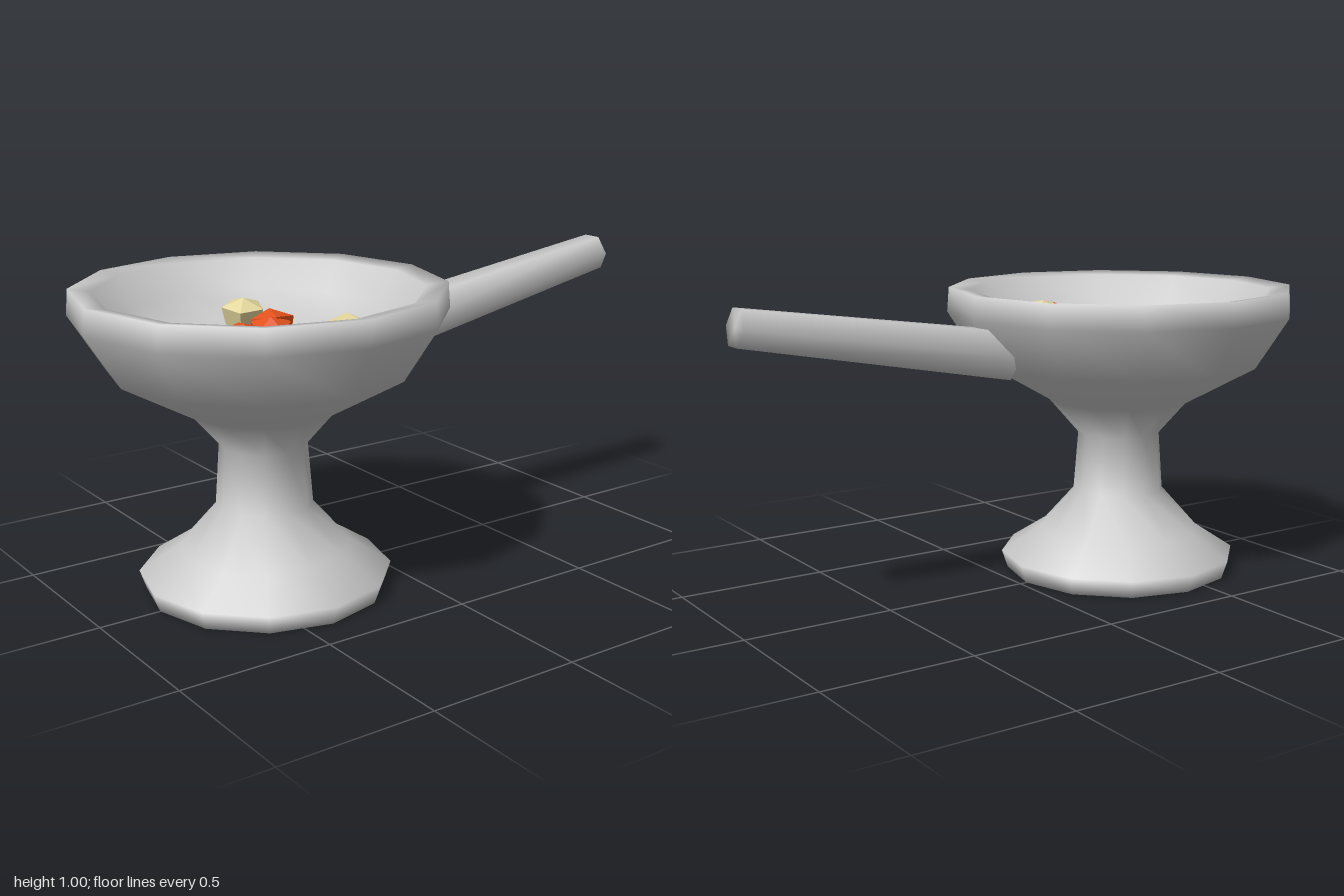
import * as THREE from 'three';

const CENTER_X = -0.41;

function material(name, color, extra = {}) {
  const m = new THREE.MeshStandardMaterial({ color, ...extra });
  m.name = name;
  return m;
}

function lathe(points, sides) {
  return new THREE.LatheGeometry(points.map(([r, y]) => new THREE.Vector2(r, y)), sides);
}

export function createModel() {
  const model = new THREE.Group();
  const stone = material('greyStone', 0xcacaca, { side: THREE.DoubleSide });
  const orange = material('orangeNugget', 0xe0511c, { flatShading: true });
  const cream = material('creamNugget', 0xe2d59c, { flatShading: true });

  const add = (name, geometry, mat, x, y, z, parent = model) => {
    const mesh = new THREE.Mesh(geometry, mat);
    mesh.name = name;
    mesh.position.set(x, y, z);
    parent.add(mesh);
    return mesh;
  };

  // Closed flared foot, stem, bowl wall, rounded lip and shallow lining in one smooth turning
  add('footStemAndBowl', lathe([
    [0, 0], [0.385, 0], [0.405, 0.06], [0.275, 0.145], [0.155, 0.28], [0.14, 0.48],
    [0.24, 0.595], [0.48, 0.73], [0.588, 0.9], [0.582, 0.982],
    [0.515, 0.972], [0.46, 0.88], [0.34, 0.81], [0.17, 0.78], [0, 0.77],
  ], 12), stone, CENTER_X, 0, 0);

  // Tapered six-sided handle with softly shaded ends, tilted up towards its tip
  const start = new THREE.Vector3(0.055, 0.785, 0);
  const axis = new THREE.Vector3(0.99, 0.941, 0).sub(start);
  const length = axis.length();
  const handle = add('handle', lathe([
    [0, 0], [0.09, 0], [0.065, length], [0, length],
  ], 6), stone, start.x, start.y, 0);
  handle.quaternion.setFromUnitVectors(new THREE.Vector3(0, 1, 0), axis.normalize());

  // Five-sided nuggets lying in the bowl: [material, x, y, z, radius, turn, tilt]
  const nugget = lathe([[0, -0.75], [0.8, -0.65], [1, 0.2], [0, 0.6]], 5);
  const contents = new THREE.Group();
  contents.name = 'bowlContents';
  model.add(contents);
  [
    [cream, -0.33, 0.85, -0.24, 0.071, 0.6, 0.1],
    [orange, -0.48, 0.835, 0.01, 0.069, 0.3, 0.15],
    [orange, -0.35, 0.85, -0.04, 0.074, 1.0, -0.15],
    [orange, -0.38, 0.845, 0.01, 0.066, 0.1, 0.2],
    [orange, -0.325, 0.855, 0.265, 0.086, 0.8, 0.1],
    [cream, -0.26, 0.875, 0.25, 0.078, 0.2, -0.2],
  ].forEach(([mat, x, y, z, r, turn, tilt], i) => {
    const mesh = add(`nugget${i + 1}`, nugget, mat, x, y, z, contents);
    mesh.scale.setScalar(r);
    mesh.rotation.set(tilt, turn, tilt * 0.6);
  });

  return model;
}
